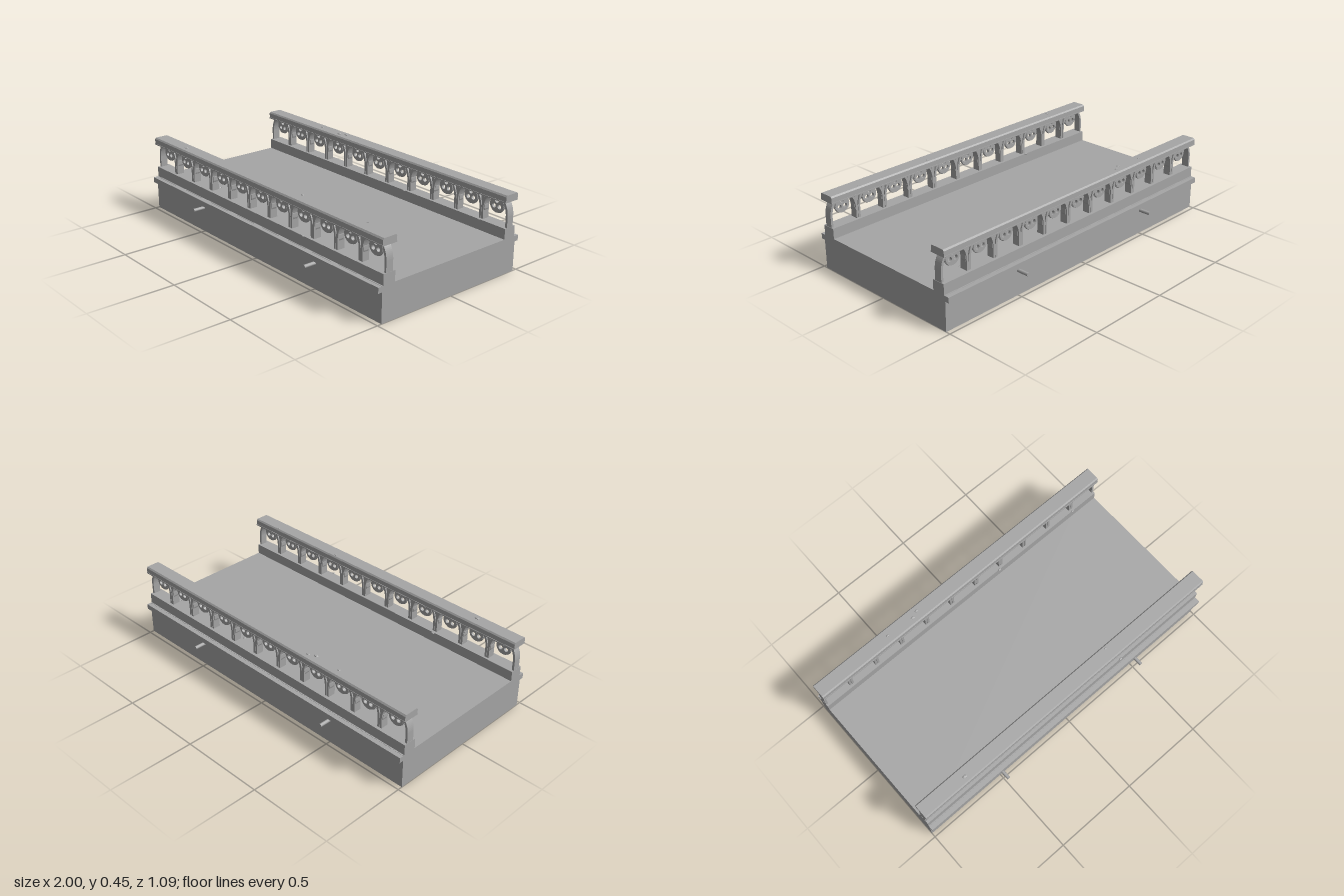
import * as THREE from 'three';

const stone = new THREE.MeshStandardMaterial({ color: 0xa6a6a6 });
stone.name = 'grey stone';

const BAYS = 11;
const PITCH = 2 / BAYS;
const WALL_Z = 0.428;

function add(parent, name, geometry, x = 0, y = 0, z = 0) {
  const mesh = new THREE.Mesh(geometry, stone);
  mesh.name = name;
  mesh.position.set(x, y, z);
  parent.add(mesh);
  return mesh;
}

// Box given by its y and z limits, running along x
function beam(parent, name, y0, y1, z0, z1, length = 2) {
  return add(parent, name, new THREE.BoxGeometry(length, y1 - y0, z1 - z0), 0, (y0 + y1) / 2, (z0 + z1) / 2);
}

// Flat shape thickened evenly about z = 0
function plate(shape, depth) {
  return new THREE.ExtrudeGeometry(shape, { depth, bevelEnabled: false, curveSegments: 10 }).translate(0, 0, -depth / 2);
}

// Curved bar rising from the plinth beside a post and bending in under the rail
function archGeometry(side) {
  const s = new THREE.Shape();
  s.moveTo(side * 0.09, 0.258);
  s.lineTo(side * 0.09, 0.325);
  s.quadraticCurveTo(side * 0.088, 0.375, side * 0.058, 0.407);
  s.lineTo(side * 0.042, 0.407);
  s.quadraticCurveTo(side * 0.074, 0.375, side * 0.077, 0.325);
  s.lineTo(side * 0.077, 0.258);
  s.closePath();
  return plate(s, 0.044);
}

// Hanging disc pierced by three round holes
function rosetteGeometry() {
  const s = new THREE.Shape();
  s.absarc(0, 0, 0.046, 0, Math.PI * 2);
  for (let i = 0; i < 3; i++) {
    const a = Math.PI / 2 + i * Math.PI * 2 / 3;
    const hole = new THREE.Path();
    hole.absarc(Math.cos(a) * 0.021, Math.sin(a) * 0.021, 0.0125, 0, Math.PI * 2, true);
    s.holes.push(hole);
  }
  return plate(s, 0.016);
}

// Post with a waist near the top and a wider shoulder
function postGeometry() {
  const half = [[0.011, 0.258], [0.011, 0.3], [0.017, 0.318], [0.017, 0.34], [0.01, 0.372], [0.01, 0.407]];
  const outline = [...half, ...half.map(([x, y]) => [-x, y]).reverse()];
  return plate(new THREE.Shape(outline.map(([x, y]) => new THREE.Vector2(x, y))), 0.03);
}

// Hand rail with chamfered upper edges
function railGeometry() {
  const pts = [[-0.045, 0.408], [0.045, 0.408], [0.045, 0.436], [0.038, 0.444], [-0.038, 0.444], [-0.045, 0.436]];
  const g = plate(new THREE.Shape(pts.map(([z, y]) => new THREE.Vector2(z, y))), 2);
  return g.rotateY(Math.PI / 2);
}

// One parapet, built on the +z edge
function parapet(name, chips) {
  const side = new THREE.Group();
  side.name = name;
  beam(side, 'ledge', 0.168, 0.199, 0.45, 0.499);
  beam(side, 'plinth', 0.195, 0.26, 0.391, 0.467);
  beam(side, 'railLip', 0.403, 0.409, 0.382, 0.477);
  add(side, 'handRail', railGeometry(), 0, 0, WALL_Z + 0.002);

  const arches = [archGeometry(-1), archGeometry(1)];
  const rosette = rosetteGeometry();
  const ring = new THREE.TorusGeometry(0.043, 0.006, 6, 24);
  for (let i = 0; i < BAYS; i++) {
    const bay = new THREE.Group();
    bay.name = 'bay';
    bay.position.set((i - (BAYS - 1) / 2) * PITCH, 0, WALL_Z);
    arches.forEach(g => add(bay, 'arch', g));
    add(bay, 'rosette', rosette, 0, 0.363, 0);
    add(bay, 'rosetteRim', ring, 0, 0.363, 0);
    side.add(bay);
  }
  const post = postGeometry();
  for (let i = 1; i < BAYS; i++) add(side, 'post', post, -1 + i * PITCH, 0, WALL_Z);

  // Drain pipes through the deck side
  const pipe = new THREE.CylinderGeometry(0.01, 0.01, 0.09, 12).rotateX(Math.PI / 2);
  for (const x of [-0.5, 0.5]) add(side, 'drainPipe', pipe, x, 0.145, 0.5);

  // Small loose chips
  const chip = new THREE.IcosahedronGeometry(0.011, 0);
  for (const [x, y, z, size] of chips) add(side, 'chip', chip, x, y, z).scale.set(size, size * 0.4, size * 0.8);
  return side;
}

export function createModel() {
  const model = new THREE.Group();
  model.name = 'bridgeSection';
  beam(model, 'deck', 0, 0.2, -0.474, 0.474);

  model.add(parapet('frontParapet', [
    [-0.71, 0.445, 0.44, 1.3], [0.32, 0.445, 0.405, 0.8], [0.81, 0.445, 0.4, 0.5],
    [-0.46, 0.26, 0.386, 1], [0.4, 0.26, 0.468, 0.9]
  ]));
  const back = parapet('backParapet', [
    [0.52, 0.445, 0.43, 0.9], [0.35, 0.445, 0.422, 1.2], [0.31, 0.445, 0.44, 1],
    [-0.25, 0.26, 0.39, 1], [-0.82, 0.26, 0.39, 0.9]
  ]);
  back.rotation.y = Math.PI;
  model.add(back);
  return model;
}
